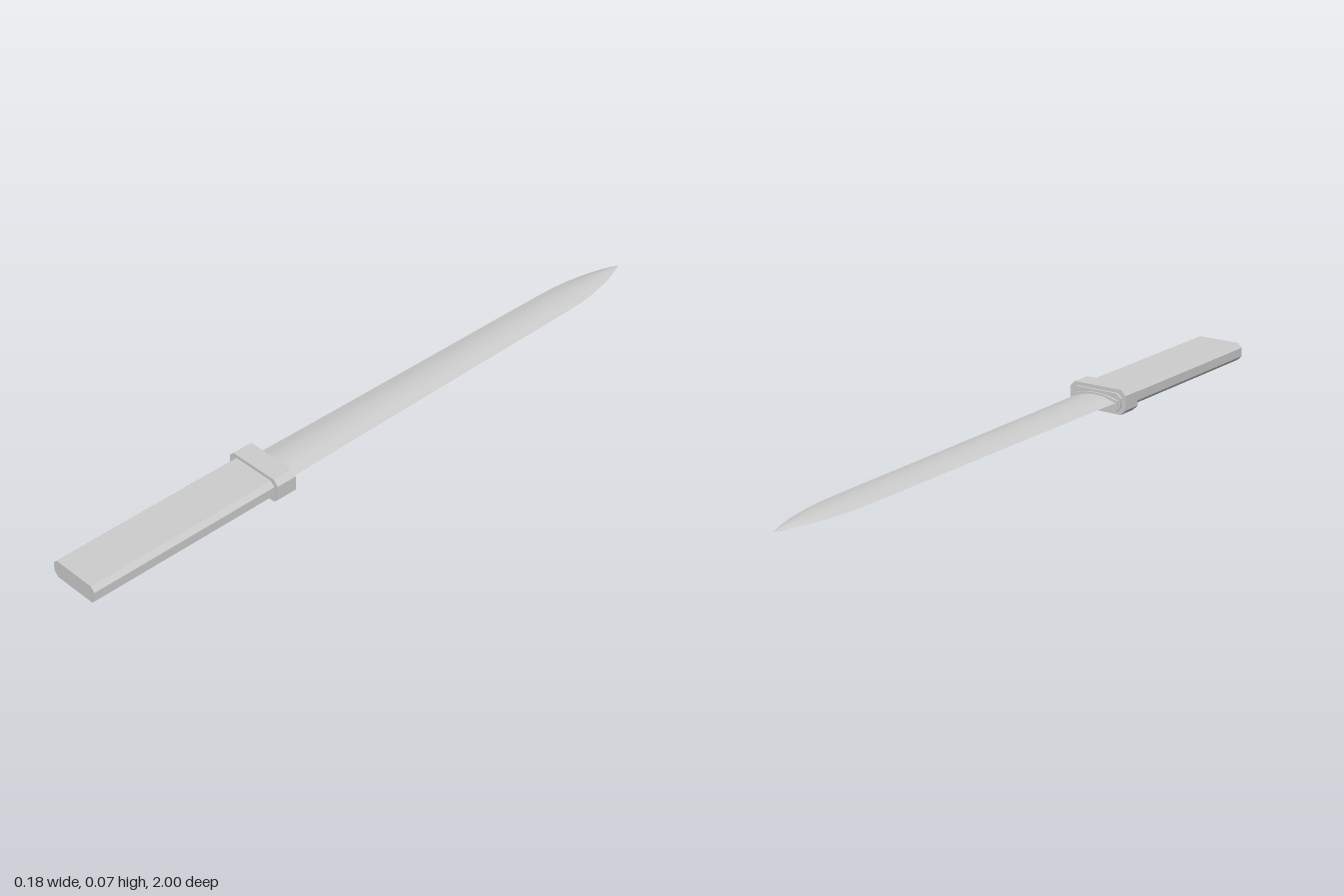
import * as THREE from 'three';

const MID = 0.036; // height of the sword's central plane

// Rectangle with cut corners, extruded from z0 to z1
function chamferedBar(name, halfW, halfH, cut, z0, z1, material) {
  const s = new THREE.Shape([
    [halfW - cut, -halfH], [halfW, -halfH + cut], [halfW, halfH - cut], [halfW - cut, halfH],
    [-halfW + cut, halfH], [-halfW, halfH - cut], [-halfW, -halfH + cut], [-halfW + cut, -halfH],
  ].map(([x, y]) => new THREE.Vector2(x, y)));
  const geo = new THREE.ExtrudeGeometry(s, { depth: z1 - z0, bevelEnabled: false });
  const mesh = new THREE.Mesh(geo, material);
  mesh.name = name;
  mesh.position.set(0, MID, z0);
  return mesh;
}

// Half cross-section of the blade: thin edges, swelling to a central ridge
const SECTION = [[-1, 0], [-0.8, 0.3], [-0.6, 0.62], [-0.4, 0.85], [-0.2, 0.96], [0, 1],
  [0.2, 0.96], [0.4, 0.85], [0.6, 0.62], [0.8, 0.3], [1, 0]];

// Blade face lofted through stations [z, halfWidth, halfThickness]; side is +1 (top) or -1
function bladeFace(stations, side) {
  const pos = [], index = [], n = SECTION.length;
  for (const [z, w, t] of stations)
    for (const [u, v] of SECTION) pos.push(u * w, side * v * t, z);
  for (let i = 0; i < stations.length - 1; i++)
    for (let j = 0; j < n - 1; j++) {
      const a = i * n + j, b = a + 1, c = a + n, d = c + 1;
      if (side > 0) index.push(a, b, c, b, d, c);
      else index.push(a, c, b, b, c, d);
    }
  const geo = new THREE.BufferGeometry();
  geo.setAttribute('position', new THREE.Float32BufferAttribute(pos, 3));
  geo.setIndex(index);
  geo.computeVertexNormals();
  return geo;
}

export function createModel() {
  const model = new THREE.Group();
  model.name = 'shortSword';
  const steel = new THREE.MeshStandardMaterial({ color: 0xcccccc });
  steel.name = 'pale grey';

  // Grip and guard
  model.add(chamferedBar('grip', 0.079, 0.026, 0.013, 0.41, 1, steel));
  model.add(chamferedBar('guard', 0.092, 0.036, 0.015, 0.353, 0.415, steel));

  // Collar shaped around the root of the blade
  model.add(chamferedBar('collar', 0.08, 0.026, 0.013, 0.345, 0.36, steel));
  const lip = new THREE.Shape();
  SECTION.forEach(([u, v], i) => {
    const x = u * 0.073, y = 0.007 + v * 0.012;
    if (i === 0) lip.moveTo(x, y); else lip.lineTo(x, y);
  });
  [...SECTION].reverse().forEach(([u, v]) => lip.lineTo(u * 0.073, -0.007 - v * 0.012));
  const lipMesh = new THREE.Mesh(
    new THREE.ExtrudeGeometry(lip, { depth: 0.01, bevelEnabled: false }), steel);
  lipMesh.name = 'bladeSocketLip';
  lipMesh.position.set(0, MID, 0.339);
  model.add(lipMesh);

  // Blade: slight taper, then a curved point
  const stations = [
    [0.35, 0.068, 0.014], [0.1, 0.064, 0.012], [-0.2, 0.061, 0.011], [-0.5, 0.058, 0.01],
    [-0.7, 0.056, 0.01], [-0.77, 0.054, 0.0095], [-0.83, 0.048, 0.009], [-0.88, 0.039, 0.008],
    [-0.92, 0.03, 0.007], [-0.96, 0.017, 0.0045], [-0.985, 0.007, 0.002], [-1, 0.0004, 0.0003],
  ];
  const blade = new THREE.Group();
  blade.name = 'blade';
  blade.position.y = MID;
  for (const side of [1, -1]) {
    const face = new THREE.Mesh(bladeFace(stations, side), steel);
    face.name = side > 0 ? 'bladeUpperFace' : 'bladeLowerFace';
    blade.add(face);
  }
  model.add(blade);
  return model;
}
